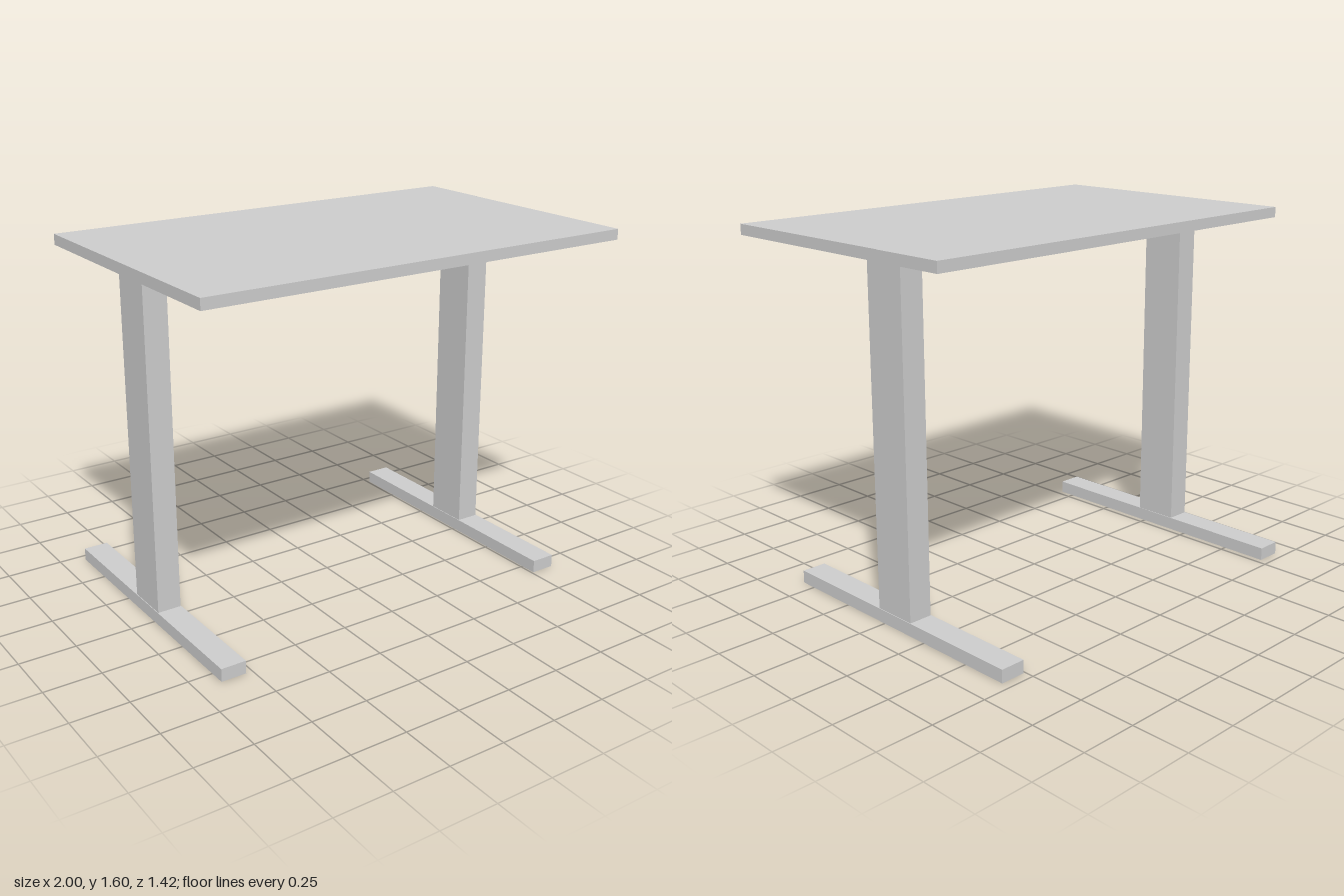
import * as THREE from 'three';

const material = new THREE.MeshStandardMaterial({ color: 0xcccccc, flatShading: true });

// Box given by its minimum and maximum on each axis
function block(name, [x0, x1], [y0, y1], [z0, z1]) {
  const mesh = new THREE.Mesh(new THREE.BoxGeometry(x1 - x0, y1 - y0, z1 - z0), material);
  mesh.position.set((x0 + x1) / 2, (y0 + y1) / 2, (z0 + z1) / 2);
  mesh.name = name;
  return mesh;
}

export function createModel() {
  const desk = new THREE.Group();
  desk.name = 'desk';

  const footTop = 0.057, underside = 1.55, deskTop = 1.596;

  // Desktop: wide front panel and narrow rear panel meeting at a seam
  desk.add(block('frontPanel', [-1, 0.997], [underside, deskTop], [-0.2, 0.708]));
  desk.add(block('rearPanel', [-1, 1], [underside, deskTop], [-0.534, -0.2]));

  // T-shaped legs: a column standing on a long foot that reaches out behind
  for (const [name, x] of [['rightLeg', -0.835], ['leftLeg', 0.815]]) {
    const leg = new THREE.Group();
    leg.name = name;
    leg.position.x = x;
    leg.add(block('column', [-0.053, 0.053], [footTop, underside], [-0.166, 0.035]));
    leg.add(block('foot', [-0.056, 0.056], [0, footTop], [-0.708, 0.574]));
    desk.add(leg);
  }

  return desk;
}
